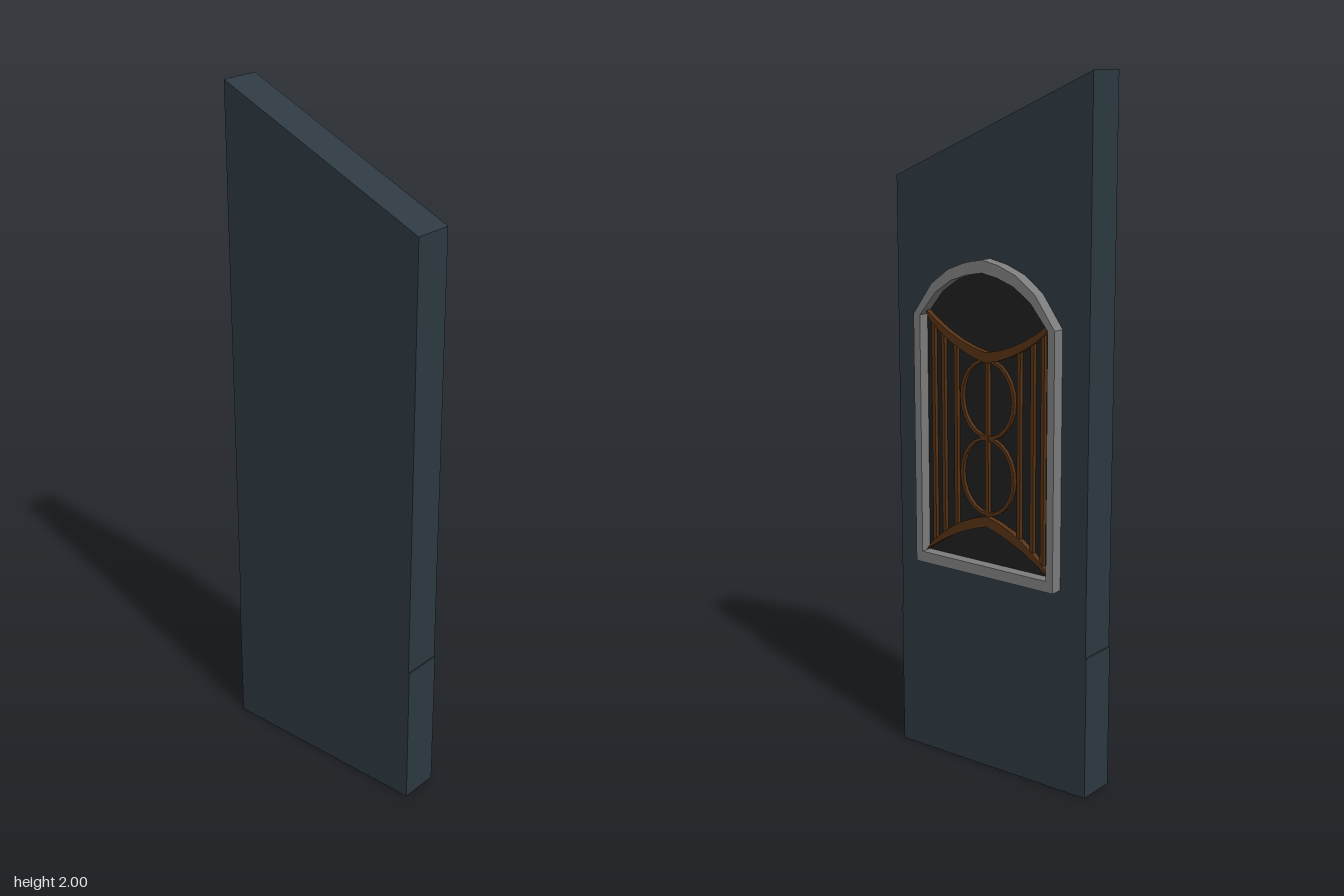
import * as THREE from 'three';

const mat = (color) => new THREE.MeshStandardMaterial({ color, flatShading: true });
const V = (x, y) => new THREE.Vector2(x, y);

export function createModel() {
  const group = new THREE.Group();
  const wallMat = mat(0x2c3840), frameMat = mat(0x7c7c7c), paneMat = mat(0x1e1e1e), grilleMat = mat(0x553113);

  // Extrudes an outline drawn on the wall's face (u = -z, v = y) from x0 to x1
  function slab(name, points, x0, x1, material, hole) {
    const shape = new THREE.Shape(points);
    if (hole) shape.holes.push(new THREE.Path(hole));
    const geo = new THREE.ExtrudeGeometry(shape, { depth: x1 - x0, bevelEnabled: false });
    geo.translate(0, 0, x0).rotateY(Math.PI / 2);
    const mesh = new THREE.Mesh(geo, material);
    mesh.name = name;
    group.add(mesh);
  }

  // Wall with a sloping top and a slightly wider foot
  slab('wall', [V(-0.333, 0), V(0.333, 0), V(0.333, 0.42), V(0.33, 0.42), V(0.33, 2),
    V(-0.33, 1.71), V(-0.33, 0.43), V(-0.333, 0.43)], -0.078, 0.04, wallMat);

  // Arched window outline: straight jambs and a faceted arch
  function arch(bottom, half) {
    const right = half.map(([u, v]) => V(u, v));
    const left = half.slice(0, -1).reverse().map(([u, v]) => V(-u, v));
    return [V(-half[0][0], bottom), V(half[0][0], bottom), ...right, ...left];
  }
  const outer = arch(0.6, [[0.243, 1.33], [0.178, 1.42], [0.117, 1.465], [0.058, 1.488], [0, 1.5]]);
  const inner = arch(0.632, [[0.22, 1.328], [0.163, 1.397], [0.108, 1.435], [0.054, 1.454], [0, 1.464]]);
  slab('windowFrame', outer, 0.04, 0.077, frameMat, inner);
  slab('windowPane', inner, 0.038, 0.043, paneMat);

  // Curved rails: two mirrored arcs meeting at the centre line
  function rail(name, near, far) {
    const arc = (a) => new THREE.QuadraticBezierCurve(...a.map(([u, v]) => V(u, v))).getPoints(5);
    const a = arc(near), b = arc(far);
    const flip = (p) => V(-p.x, p.y);
    slab(name, [...a, ...a.slice(0, -1).reverse().map(flip), ...b.map(flip), ...b.slice(0, -1).reverse()],
      0.043, 0.06, grilleMat);
  }
  rail('upperRail', [[0.215, 1.345], [0.11, 1.26], [0, 1.243]], [[0.2, 1.315], [0.11, 1.235], [0, 1.213]]);
  rail('lowerRail', [[0.2, 0.66], [0.11, 0.75], [0, 0.773]], [[0.218, 0.635], [0.11, 0.715], [0, 0.743]]);

  // Upright bars, each ending on the rails
  for (const [u, low, high] of [[0.19, 0.66, 1.32], [0.155, 0.69, 1.29], [0.11, 0.72, 1.26], [0, 0.75, 1.23]]) {
    for (const s of u ? [-1, 1] : [1]) {
      const bar = new THREE.Mesh(new THREE.BoxGeometry(0.012, high - low, 0.011), grilleMat);
      bar.position.set(0.05, (low + high) / 2, s * u);
      bar.name = 'grilleBar';
      group.add(bar);
    }
  }

  // Two oval rings on the centre bar
  const oval = (cy, rx, ry) => new THREE.EllipseCurve(0, cy, rx, ry).getPoints(24).slice(0, -1);
  for (const cy of [1.11, 0.888]) {
    slab('grilleRing', oval(cy, 0.095, 0.115), 0.044, 0.055, grilleMat, oval(cy, 0.085, 0.105));
  }
  return group;
}
